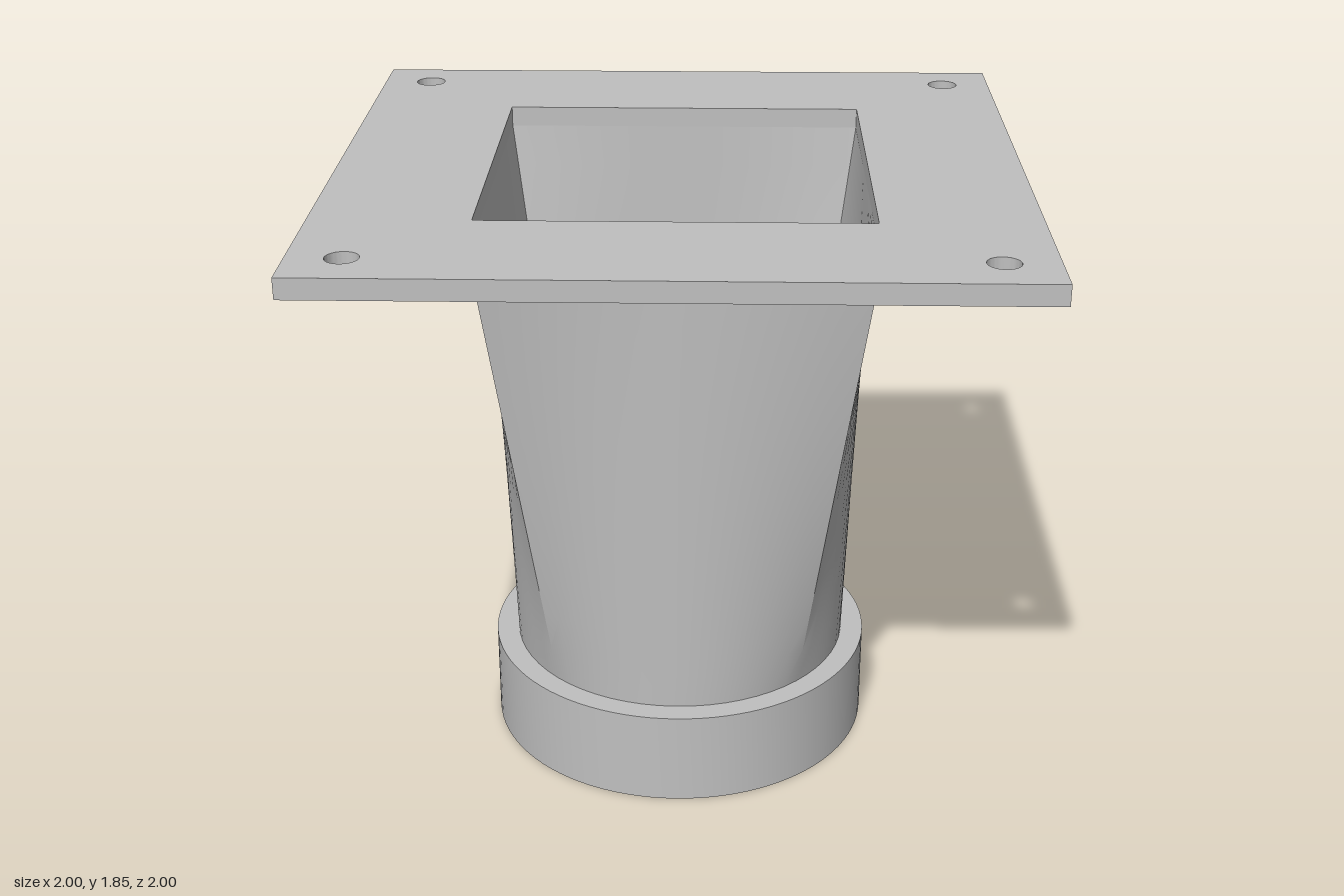
import * as THREE from 'three';
import { toCreasedNormals } from 'three/addons/utils/BufferGeometryUtils.js';

const COLLAR_TOP = 0.29, FLANGE_BOTTOM = 1.79, FLANGE_TOP = 1.85;

// Ruled wall from a circle (radius r) at the bottom to a square (half side s) at the top
function roundToSquare(r, s, inward) {
  const SEG = 64, ROWS = 12, pos = [], idx = [];
  for (let j = 0; j <= ROWS; j++) {
    const t = j / ROWS;
    for (let i = 0; i <= SEG; i++) {
      const a = (i / SEG) * Math.PI * 2, c = Math.cos(a), n = Math.sin(a);
      const square = s / Math.max(Math.abs(c), Math.abs(n));
      const d = r + (square - r) * t;
      pos.push(c * d, COLLAR_TOP + (FLANGE_BOTTOM - COLLAR_TOP) * t, n * d);
    }
  }
  for (let j = 0; j < ROWS; j++) {
    for (let i = 0; i < SEG; i++) {
      const a = j * (SEG + 1) + i, b = a + 1, c = a + SEG + 1, d = c + 1;
      if (inward) idx.push(a, b, c, b, d, c);
      else idx.push(a, c, b, b, c, d);
    }
  }
  const g = new THREE.BufferGeometry();
  g.setAttribute('position', new THREE.Float32BufferAttribute(pos, 3));
  g.setIndex(idx);
  return toCreasedNormals(g, 0.35);
}

function squarePath(path, h) {
  path.moveTo(-h, -h);
  path.lineTo(h, -h);
  path.lineTo(h, h);
  path.lineTo(-h, h);
  path.closePath();
  return path;
}

export function createModel() {
  const group = new THREE.Group();
  const grey = new THREE.MeshStandardMaterial({ color: 0xc0c0c0 });
  grey.name = 'grey';
  const add = (name, geometry) => {
    const mesh = new THREE.Mesh(geometry, grey);
    mesh.name = name;
    group.add(mesh);
  };

  // Square mounting flange with a square opening and four bolt holes
  const plate = squarePath(new THREE.Shape(), 1);
  plate.holes.push(squarePath(new THREE.Path(), 0.55));
  for (const x of [-0.85, 0.85]) {
    for (const y of [-0.85, 0.85]) {
      plate.holes.push(new THREE.Path().absarc(x, y, 0.046, 0, Math.PI * 2, true));
    }
  }
  const flange = new THREE.ExtrudeGeometry(plate, {
    depth: FLANGE_TOP - FLANGE_BOTTOM, bevelEnabled: false, curveSegments: 24,
  });
  flange.rotateX(-Math.PI / 2);
  flange.translate(0, FLANGE_BOTTOM, 0);
  add('flange', toCreasedNormals(flange, 0.5));

  // Round-to-square duct, outside and inside walls
  add('ductOuterWall', roundToSquare(0.525, 0.57, false));
  add('ductInnerWall', roundToSquare(0.505, 0.55, true));

  // Round pipe collar
  const profile = [[0.495, 0], [0.595, 0], [0.595, COLLAR_TOP], [0.495, COLLAR_TOP], [0.495, 0]]
    .map(([x, y]) => new THREE.Vector2(x, y));
  add('collar', toCreasedNormals(new THREE.LatheGeometry(profile, 96), 0.5));

  return group;
}
